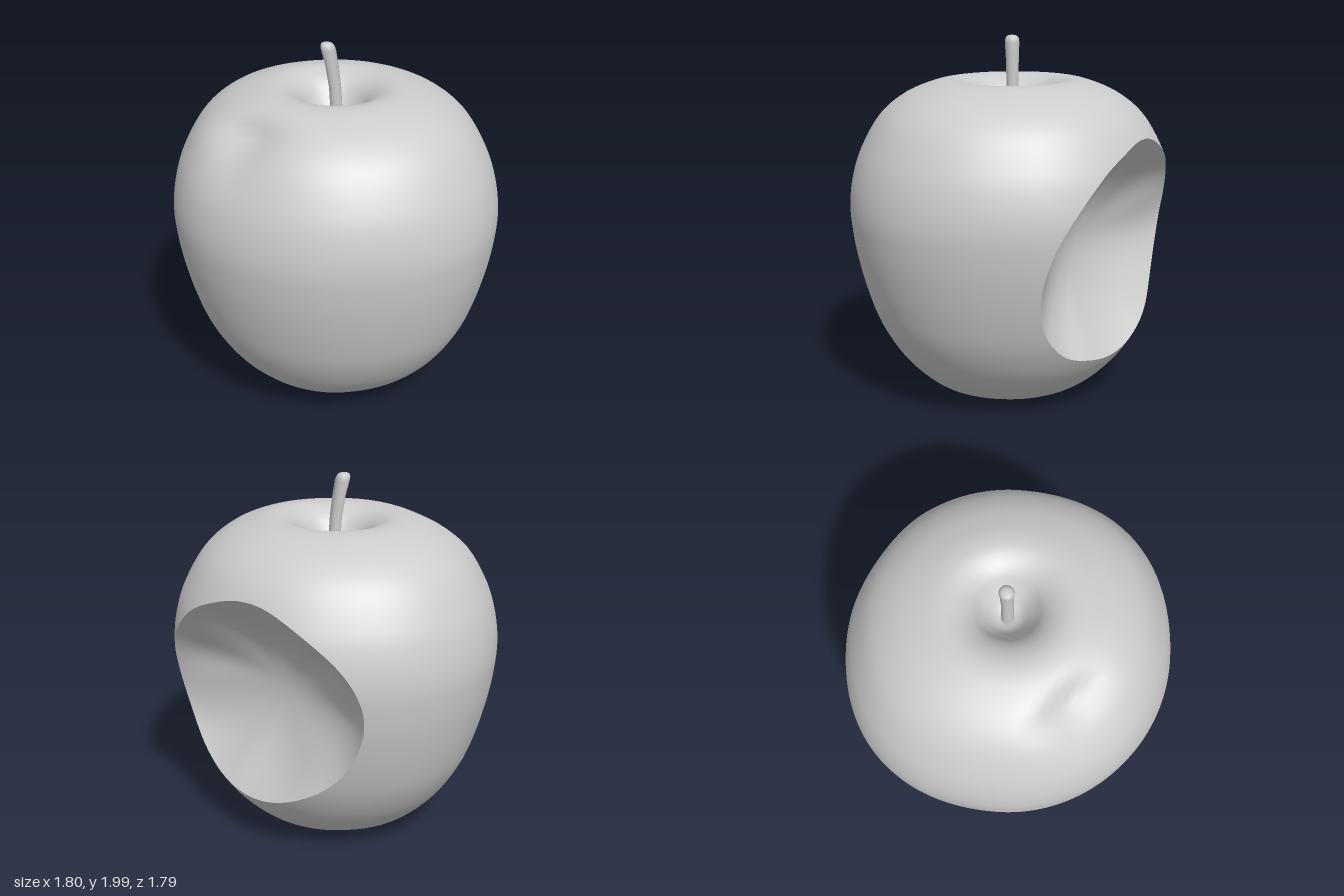
import * as THREE from 'three';

const RAYS = 288, SKIN_RINGS = 84, BITE_RINGS = 26;
const BITE_AZ = THREE.MathUtils.degToRad(53);
const v2 = ([a, b]) => new THREE.Vector2(a, b);

// Half outline of the apple, from the bottom hollow to the stem hollow: [radius, y]
const outline = new THREE.SplineCurve([
  [0, 0.25], [0.05, 0.21], [0.1, 0.14], [0.16, 0.07], [0.23, 0.025], [0.31, 0.008], [0.45, 0.07],
  [0.57, 0.17], [0.67, 0.29], [0.76, 0.45], [0.82, 0.62], [0.865, 0.8], [0.89, 0.95], [0.9, 1.1],
  [0.88, 1.25], [0.83, 1.4], [0.73, 1.57], [0.6, 1.68], [0.45, 1.745], [0.34, 1.765], [0.26, 1.748],
  [0.19, 1.7], [0.13, 1.62], [0.07, 1.55], [0, 1.52],
].map(v2));

// Rim of the bite: [azimuth in degrees from +x towards -z, y]
const rimPoints = [
  [7, 0.68], [11, 0.51], [20, 0.39], [33, 0.335], [50, 0.312], [69, 0.365], [89, 0.52], [99, 0.72],
  [101.5, 0.97], [95, 1.2], [81, 1.38], [67, 1.475], [55, 1.49], [43, 1.45], [31, 1.37], [17, 1.17], [9, 0.94],
];

// Outline parameter at a given height on the flank
function heightToT(y) {
  let lo = 0.22, hi = 0.78;
  for (let i = 0; i < 40; i++) {
    const mid = (lo + hi) / 2;
    if (outline.getPoint(mid).y < y) lo = mid; else hi = mid;
  }
  return lo;
}

// Skin point for chart coordinates in [-1, 1]: u around the apple, v along the outline
const dent = new THREE.Vector3(-0.47, 1.64, 0.36);
const dentOut = new THREE.Vector3(-0.55, -0.5, 0.65).normalize();
const dentIn = new THREE.Vector3(0.45, -0.8, -0.35).normalize();
function skinPoint(u, v) {
  const az = BITE_AZ + u * Math.PI;
  const q = outline.getPoint(THREE.MathUtils.clamp((v + 1) / 2, 0, 1));
  // slight swelling along one diagonal
  const r = q.x * (1 + 0.042 * Math.max(0, -Math.sin(2 * az)) ** 2);
  const p = new THREE.Vector3(r * Math.cos(az), q.y, -r * Math.sin(az));
  // bruise on the shoulder, steeper on the side near the stem
  const d = p.clone().sub(dent);
  const along = d.dot(dentOut);
  const across2 = Math.max(d.lengthSq() - along * along, 0);
  const f = Math.exp(-((along / (along < 0 ? 0.1 : 0.26)) ** 2) - across2 / 0.04);
  return p.addScaledVector(dentIn, 0.07 * f);
}

function skinNormal(u, v) {
  const e = 0.002;
  v = THREE.MathUtils.clamp(v, -0.994, 0.994);
  const du = skinPoint(u + e, v).sub(skinPoint(u - e, v));
  const dv = skinPoint(u, v + e).sub(skinPoint(u, v - e));
  return du.cross(dv).normalize();
}

// Rays from the bite centre to the border of the chart, each with its crossing of the rim
function makeRays() {
  const rim = new THREE.CatmullRomCurve3(rimPoints.map(([a, y]) =>
    new THREE.Vector3((a - 53) / 180, 2 * heightToT(y) - 1, 0)), true);
  const samples = rim.getPoints(4000);
  const side = RAYS / 4, rays = [];
  for (let i = 0; i < RAYS; i++) {
    const s = Math.floor(i / side), f = -1 + 2 * (i % side) / side;
    const border = v2([[1, f], [-f, 1], [-1, -f], [f, -1]][s]);
    const dir = border.clone().normalize();
    let best = null, bestDot = -2;
    for (const p of samples) {
      const dot = (p.x * dir.x + p.y * dir.y) / Math.hypot(p.x, p.y);
      if (dot > bestDot) { bestDot = dot; best = p; }
    }
    rays.push({ border, rim: v2([best.x, best.y]) });
  }
  return rays;
}

// Mesh of closed rings, listed from the inside to the outside
function ringGeometry(rings, pointAt, normalAt) {
  const pos = [], nor = [], index = [];
  for (let k = 0; k <= rings; k++) {
    for (let i = 0; i < RAYS; i++) {
      pos.push(...pointAt(i, k / rings).toArray());
      if (normalAt) nor.push(...normalAt(i, k / rings).toArray());
      if (k === rings) continue;
      const a = k * RAYS + i, c = k * RAYS + (i + 1) % RAYS, b = a + RAYS, d = c + RAYS;
      index.push(a, b, c, c, b, d);
    }
  }
  const g = new THREE.BufferGeometry();
  g.setAttribute('position', new THREE.Float32BufferAttribute(pos, 3));
  g.setIndex(index);
  if (normalAt) g.setAttribute('normal', new THREE.Float32BufferAttribute(nor, 3));
  else g.computeVertexNormals();
  return g;
}

export function createModel() {
  const group = new THREE.Group();
  const material = new THREE.MeshStandardMaterial({ color: 0xcccccc, side: THREE.DoubleSide });
  const add = (name, geometry) => {
    const mesh = new THREE.Mesh(geometry, material);
    mesh.name = name;
    group.add(mesh);
  };
  const rays = makeRays();

  // Apple skin, open at the bite
  const chart = (i, k) => rays[i].rim.clone().lerp(rays[i].border, k);
  add('skin', ringGeometry(SKIN_RINGS,
    (i, k) => { const c = chart(i, k); return skinPoint(c.x, c.y); },
    (i, k) => { const c = chart(i, k); return skinNormal(c.x, c.y); }));

  // Bitten flesh: a shallow bowl with faint tooth ridges near the rim
  const axis = new THREE.Vector3(Math.cos(BITE_AZ), 0, -Math.sin(BITE_AZ));
  const centre = axis.clone().multiplyScalar(0.42).setY(0.9);
  const rim3 = rays.map(({ rim }) => skinPoint(rim.x, rim.y));
  add('biteFlesh', ringGeometry(BITE_RINGS, (i, k) => {
    const d = rim3[i].clone().sub(centre);
    const depth = d.dot(axis);
    const angle = Math.atan2(rays[i].rim.y, rays[i].rim.x);
    const ridge = 0.09 * Math.sin(6 * angle) * k ** 4 * (1 - k);
    return centre.clone().addScaledVector(d.addScaledVector(axis, -depth), k)
      .addScaledVector(axis, depth * k * k + ridge);
  }));

  // Stem: a slim turned rod, bent towards -x
  const stem = new THREE.LatheGeometry([
    [0.036, 1.46], [0.033, 1.6], [0.033, 1.75], [0.036, 1.88], [0.04, 1.96], [0.038, 1.98],
    [0.03, 1.994], [0.018, 1.999], [0, 2],
  ].map(v2), 24);
  const p = stem.attributes.position;
  for (let i = 0; i < p.count; i++) {
    const h = Math.max(0, (p.getY(i) - 1.5) / 0.5);
    p.setX(i, p.getX(i) + 0.01 - 0.055 * h ** 2.5);
    p.setZ(i, p.getZ(i) - 0.005);
  }
  add('stem', stem);
  return group;
}
